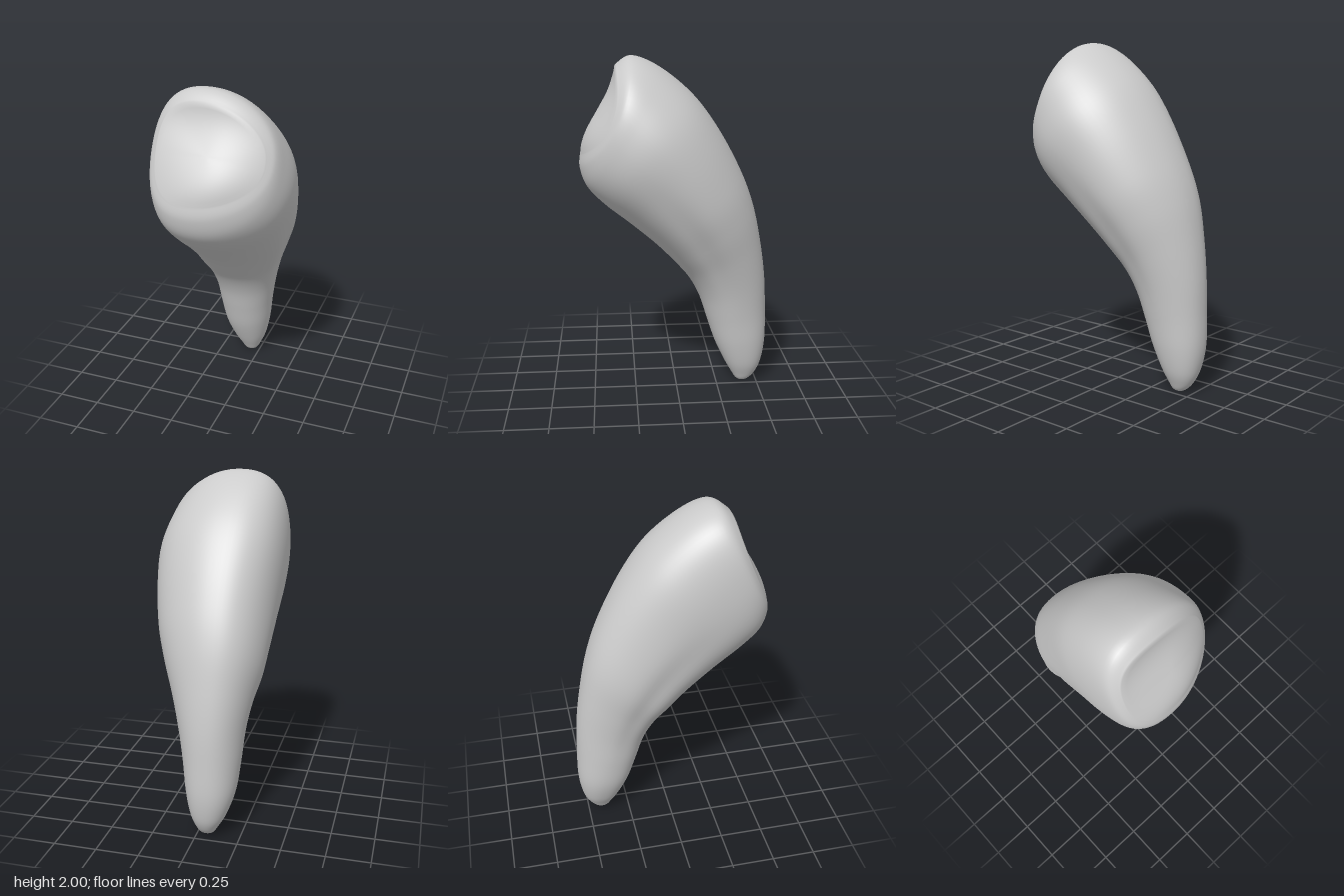
import * as THREE from 'three';
import { mergeVertices } from 'three/addons/utils/BufferGeometryUtils.js';

// Cross-sections from base rim to tip: inner edge z, y | outer edge z, y | min x, max x
const SECTIONS = [
  [0.552, 1.45, 0.345, 1.945, -0.305, 0.275],
  [0.558, 1.37, 0.25, 1.998, -0.35, 0.315],
  [0.52, 1.26, 0.09, 1.935, -0.37, 0.345],
  [0.42, 1.155, -0.10, 1.78, -0.375, 0.37],
  [0.27, 1.035, -0.25, 1.58, -0.365, 0.35],
  [0.12, 0.905, -0.38, 1.34, -0.35, 0.305],
  [0.01, 0.79, -0.46, 1.13, -0.33, 0.245],
  [-0.075, 0.69, -0.51, 0.90, -0.288, 0.18],
  [-0.14, 0.57, -0.54, 0.68, -0.255, 0.13],
  [-0.19, 0.42, -0.55, 0.47, -0.237, 0.095],
  [-0.24, 0.27, -0.552, 0.28, -0.215, 0.07],
  [-0.30, 0.14, -0.53, 0.14, -0.17, 0.04],
  [-0.345, 0.06, -0.495, 0.06, -0.125, 0.008],
  [-0.375, 0.015, -0.453, 0.015, -0.095, -0.018],
  [-0.413, 0, -0.413, 0, -0.057, -0.057],
];
const LAST = SECTIONS.length - 1;
const STEPS = 6, CAP_RINGS = 10, SIDES = 72;
const { clamp, smoothstep } = THREE.MathUtils;

// Smoothly interpolated section at t (in section indices)
function sectionAt(t) {
  const i = Math.min(Math.floor(t), LAST - 1), f = t - i;
  const [a, b, c, d] = [i - 1, i, i + 1, i + 2].map(k => SECTIONS[clamp(k, 0, LAST)]);
  return b.map((v, k) => v + 0.5 * f * (c[k] - a[k]
    + f * (2 * a[k] - 5 * v + 4 * c[k] - d[k] + f * (3 * (v - c[k]) + d[k] - a[k]))));
}

// Point on the section at t; scale below 1 shrinks it to fill the base face
function outlinePoint(t, angle, scale = 1) {
  const [fz, fy, bz, by, x0, x1] = sectionAt(t);
  const c = Math.cos(angle), s = Math.sin(angle);
  const round = v => Math.sign(v) * Math.abs(v) ** 0.92 * scale / 2;
  // the outer curve narrows to a soft ridge below the root
  const taper = 1 - 0.1 * smoothstep(t, 3, 5) * (1 - smoothstep(t, 8, 11)) * Math.max(0, -s);
  const side = round(c) * taper, along = round(s);
  // ridges lean sideways near the base, and the base rim curves back at its sides
  const skew = 0.07 * (1 - smoothstep(t, 2, 10)) * s * s * scale ** 2;
  const setback = (0.055 + 0.03 * c) * (1 - smoothstep(t, 0.5, 3)) * c * c * scale ** 2;
  // base face bulges toward the inner edge and dishes toward the outer edge
  const bulge = 0.045 * s * scale * (1 - scale ** 2);
  // shallow lengthwise groove on each flank
  const groove = 0.015 * Math.exp(-(((t - 5.5) / 2) ** 2) - ((s - 0.25) / 0.22) ** 2) * Math.sign(c);
  return [
    (x0 + x1) / 2 + side * (x1 - x0) - skew - groove * scale,
    (fy + by) / 2 + along * (fy - by) + 0.4 * (bulge - setback),
    (fz + bz) / 2 + along * (fz - bz) + 0.92 * (bulge - setback),
  ];
}

function loftGeometry() {
  const rings = CAP_RINGS + LAST * STEPS;
  const positions = [], index = [];
  for (let i = 0; i <= rings; i++) {
    const t = Math.max(0, (i - CAP_RINGS) / STEPS);
    const scale = Math.min(1, i / CAP_RINGS);
    for (let j = 0; j < SIDES; j++) {
      positions.push(...outlinePoint(t, (j / SIDES) * Math.PI * 2, scale));
      if (i === rings) continue;
      const a = i * SIDES + j, b = i * SIDES + (j + 1) % SIDES;
      if (i > 0) index.push(a, b, a + SIDES);
      if (i < rings - 1) index.push(b, b + SIDES, a + SIDES);
    }
  }
  const geometry = new THREE.BufferGeometry();
  geometry.setAttribute('position', new THREE.Float32BufferAttribute(positions, 3));
  geometry.setIndex(index);
  const merged = mergeVertices(geometry, 1e-5);
  merged.computeVertexNormals();
  return merged;
}

export function createModel() {
  const group = new THREE.Group();
  group.name = 'curvedClaw';
  // One continuous body: flattened base face, broad root and tapered tip
  const claw = new THREE.Mesh(loftGeometry(), new THREE.MeshStandardMaterial({ color: 0xcccccc }));
  claw.name = 'claw';
  group.add(claw);
  return group;
}
